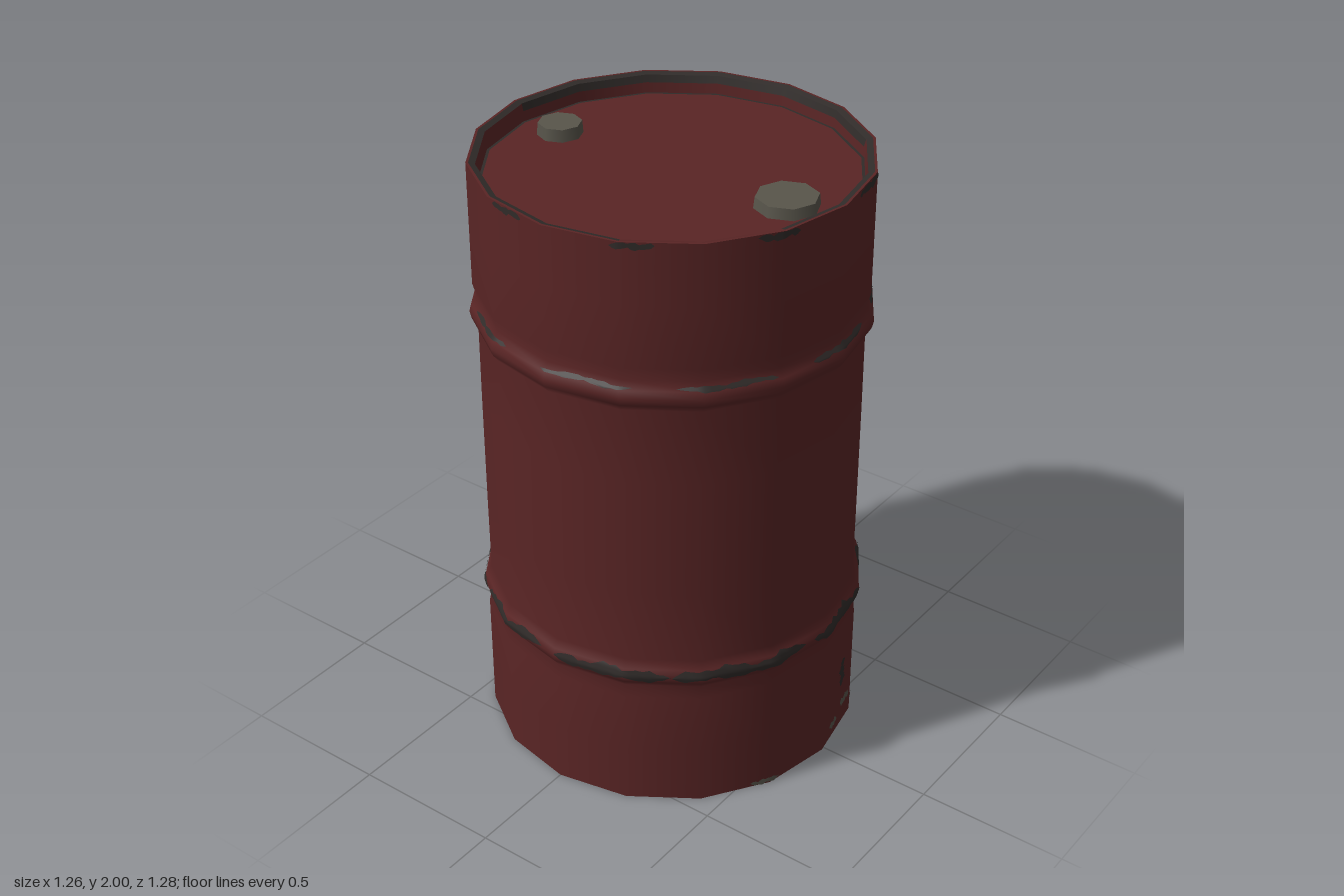
import * as THREE from 'three';

const SIDES = 16;
const DEG = Math.PI / 180;

const mat = (name, color) => {
  const m = new THREE.MeshStandardMaterial({ color });
  m.name = name;
  return m;
};

// Side wall profile, bottom to top: [radius, height], with two rolled ridges
const ridge = (y) => [-2, -1, 0, 1, 2].map((k) => [0.628 - 0.00625 * k * k, y + 0.025 * k]);
const WALL = [
  [0.615, 0], [0.615, 0.2], [0.615, 0.41], ...ridge(0.5),
  [0.604, 0.8], [0.604, 1.2], ...ridge(1.505),
  [0.615, 1.6], [0.615, 1.8], [0.615, 2],
];

// Distance from the axis to the faceted wall at an angle (degrees, 0 = front, 90 = left)
function wallRadius(deg, y) {
  let i = 1;
  while (i < WALL.length - 1 && WALL[i][1] < y) i++;
  const [r0, y0] = WALL[i - 1], [r1, y1] = WALL[i];
  const r = THREE.MathUtils.lerp(r0, r1, (y - y0) / (y1 - y0));
  const step = 360 / SIDES;
  const local = THREE.MathUtils.euclideanModulo(deg, step) - step / 2;
  return r * Math.cos(Math.PI / SIDES) / Math.cos(local * DEG);
}

// Ragged thin patch hugging the wall, long either around the barrel or up it
function wearGeometry(a, y, halfA, halfY, seed) {
  const around = halfA * DEG * 0.6 > halfY;
  const nu = around ? Math.max(12, Math.ceil(halfA)) : 4;
  const nv = around ? 6 : 28;
  const ragged = (t) => Math.sqrt(1 - t ** 4)
    * (0.72 + 0.2 * Math.sin(t * 9 + seed * 2.3) + 0.16 * Math.sin(t * 23 + seed * 5.1));
  const pos = [], index = [];
  for (let i = 0; i <= nu; i++) {
    for (let j = 0; j <= nv; j++) {
      const u = (i / nu) * 2 - 1, v = (j / nv) * 2 - 1;
      const drift = Math.sin((around ? u : v) * 5 + seed) * 0.2;
      const deg = a + halfA * (around ? u : u * ragged(v) + drift);
      const h = THREE.MathUtils.clamp(y + halfY * (around ? v * ragged(u) + drift : v), 0, 2);
      const r = wallRadius(deg, h) + 0.003;
      pos.push(r * Math.sin(deg * DEG), h, r * Math.cos(deg * DEG));
      if (i < nu && j < nv) {
        const p = i * (nv + 1) + j, q = p + nv + 1;
        index.push(p, q, p + 1, q, q + 1, p + 1);
      }
    }
  }
  const g = new THREE.BufferGeometry();
  g.setAttribute('position', new THREE.Float32BufferAttribute(pos, 3));
  g.setIndex(index);
  g.computeVertexNormals();
  return g;
}

export function createModel() {
  const red = mat('red paint', 0x5a2525);
  const rust = mat('dark worn paint', 0x302b29);
  const metal = mat('bare metal', 0x58554b);
  const root = new THREE.Group();
  root.name = 'barrel';
  const drum = new THREE.Group();
  drum.name = 'drum';
  drum.position.z = 0.012;
  root.add(drum);

  const add = (name, geometry, material, parent = drum) => {
    const m = new THREE.Mesh(geometry, material);
    m.name = name;
    parent.add(m);
    return m;
  };
  const lathe = (name, pts, material, from = 0, count = SIDES) => add(name,
    new THREE.LatheGeometry(pts.map(([r, y]) => new THREE.Vector2(r, y)), count,
      from * 2 * Math.PI / SIDES, count * 2 * Math.PI / SIDES), material);

  lathe('wall', WALL, red);

  // Top rim, inner lip and sunken lid
  lathe('rimEdge', [[0.615, 2], [0.607, 2]], red);
  lathe('rimWorn', [[0.607, 2], [0.587, 1.994]], rust, 3, 14);
  lathe('rimPainted', [[0.607, 2], [0.587, 1.994]], red, 1, 2);
  lathe('innerLip', [[0.587, 1.994], [0.583, 1.936]], red);
  lathe('lipWear', [[0.586, 1.996], [0.58, 1.972]], rust, 6, 6);
  lathe('lidSeam', [[0.583, 1.936], [0.574, 1.936]], rust);
  lathe('lid', [[0.574, 1.936], [0, 1.936]], red);

  // Sunken underside with a bare patch
  lathe('bottomRim', [[0.59, 0], [0.615, 0]], red);
  lathe('bottomLip', [[0.585, 0.03], [0.59, 0]], rust);
  lathe('bottom', [[0, 0.03], [0.585, 0.03]], rust);
  const outline = [[-0.11, 0.56], [-0.08, 0.28], [0.08, 0.21], [0.06, 0.08], [0.26, -0.14],
    [0.08, -0.42], [-0.15, -0.53], [-0.44, -0.34], [-0.56, -0.07], [-0.5, 0.24], [-0.33, 0.46]];
  const patch = add('bottomBarePatch', new THREE.ShapeGeometry(
    new THREE.Shape(outline.map(([x, y]) => new THREE.Vector2(x, y)))).rotateX(Math.PI / 2), metal);
  patch.rotation.y = 145 * DEG;
  patch.position.y = 0.025;

  // Caps on the lid
  for (const [name, x, r, h] of [['largeCap', 0.41, 0.1, 0.035], ['smallCap', -0.435, 0.072, 0.04]]) {
    const cap = add(name, new THREE.CylinderGeometry(r * 0.96, r, h, 8), metal);
    cap.position.set(x, 1.936 + h / 2, -0.002);
  }

  // Drain plug low on the back: flange, raised ring and centre
  const plug = new THREE.Group();
  plug.name = 'drainPlug';
  plug.position.set(0, 0.235, -0.59);
  plug.rotation.x = -Math.PI / 2;
  drum.add(plug);
  const plugProfile = [[0.11, -0.03], [0.11, 0.04], [0.095, 0.052], [0.078, 0.052], [0.074, 0.042],
    [0.062, 0.042], [0.058, 0.062], [0, 0.062]];
  const plugGeo = new THREE.LatheGeometry(plugProfile.map(([r, y]) => new THREE.Vector2(r, y)), 12).toNonIndexed();
  plugGeo.computeVertexNormals();
  add('plugCap', plugGeo, metal, plug);

  // Worn patches at an angle and height, with half sizes in degrees and units
  let seed = 0;
  const wear = (name, material, a, y, halfA, halfY) =>
    add(name, wearGeometry(a, y, halfA, halfY, ++seed), material);

  // Broken bands of wear around the ridges and the top and bottom edges
  for (let i = 0; i < 9; i++) {
    const a = i * 40 + 18, back = 0.5 - 0.5 * Math.cos(a * DEG);
    wear('lowerRidgeWear', rust, a, 0.503, 18 + 4 * Math.sin(i * 2), 0.026 + 0.008 * back);
    wear('upperRidgeWear', rust, a - 6, 1.537, 14 + 3 * Math.sin(i * 3), 0.008 + 0.005 * back);
    wear('topEdgeWear', rust, a + 8, 1.989, 6 + 2 * back, 0.013 + 0.009 * back);
    if (i % 2) wear('baseEdgeScrape', metal, a + 8, 0.012, 5, 0.012);
  }

  // Runs and blotches down the back and left side
  const runs = [
    [167, 1, 2.6, 0.52], [192, 0.66, 2.6, 0.6], [175, 1, 1.5, 0.09], [129, 0.73, 1.8, 0.12],
    [136, 0.78, 1.4, 0.1], [253, 1.3, 0.8, 0.17], [253, 1.06, 2.2, 0.03], [119, 1.35, 2.6, 0.035],
    [117, 1.75, 1.8, 0.04], [104, 0.22, 2.2, 0.055], [118, 0.26, 2.8, 0.065],
  ];
  for (const run of runs) wear('darkRun', rust, ...run);

  // Bare metal scrapes rising along the base towards the plug
  for (let i = 0; i < 7; i++) {
    wear('bareScrape', metal, 98 + i * 9, 0.05 + 0.02 * i + 0.03 * Math.sin(i * 2.5),
      3 + 0.7 * i, 0.018 + 0.002 * i);
  }
  wear('bareScrape', metal, 151, 0.1, 3, 0.06);
  wear('bareScrape', metal, 157, 0.05, 7, 0.025);
  wear('bareScrape', metal, 204, 0.17, 7, 0.025);

  return root;
}
